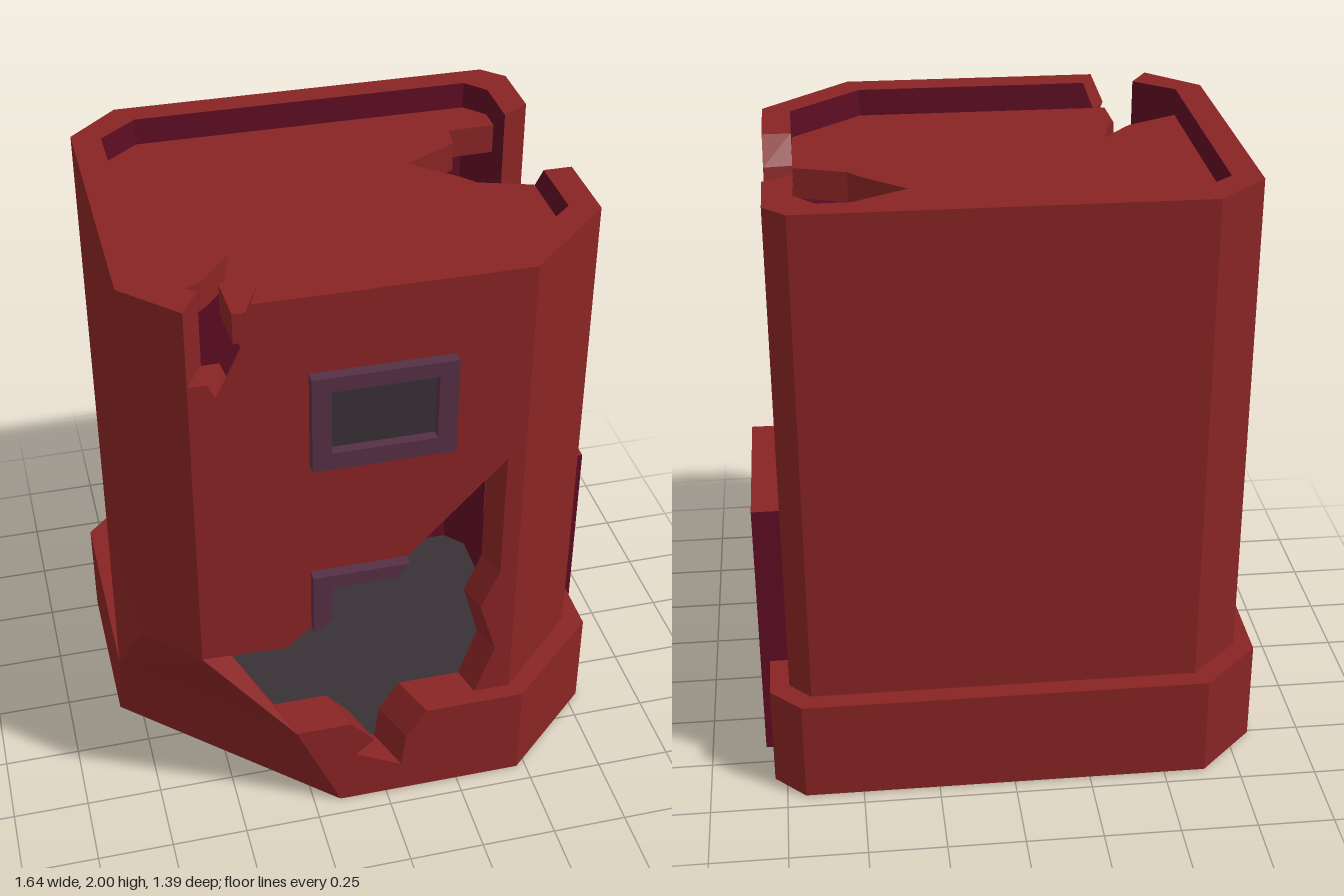
import * as THREE from 'three';

const material = (name, color) => {
  const m = new THREE.MeshStandardMaterial({ color });
  m.name = name;
  return m;
};

export function createModel() {
  const group = new THREE.Group();
  const red = material('brick red', 0x892424);
  const crimson = material('inner crimson', 0x5f0d24);
  const grey = material('floor grey', 0x383036);
  const plum = material('window frame plum', 0x552f44);

  const add = (name, geo, mat) => {
    const mesh = new THREE.Mesh(geo, mat);
    mesh.name = name;
    group.add(mesh);
    return mesh;
  };
  const shapeOf = (pts) => new THREE.Shape(pts.map(([x, y]) => new THREE.Vector2(x, y)));
  const rect = (x0, y0, x1, y1) => [[x0, y0], [x1, y0], [x1, y1], [x0, y1]];
  const mix = THREE.MathUtils.lerp;

  // Thick wall: a contour (s, y) mapped between an outer and an inner line.
  // A section is [outerStart, outerEnd, innerStart, innerEnd], each an [x, z] pair.
  function panel(name, pts, s0, s1, lo, hi = lo, y0 = 0, y1 = 1) {
    const geo = new THREE.ExtrudeGeometry(shapeOf(pts), { depth: 1, bevelEnabled: false });
    const p = geo.attributes.position;
    for (let i = 0; i < p.count; i++) {
      const u = (p.getX(i) - s0) / (s1 - s0), y = p.getY(i), t = p.getZ(i);
      const v = (y - y0) / (y1 - y0);
      const at = (k) => {
        const c = [0, 1, 2, 3].map((j) => mix(lo[j][k], hi[j][k], v));
        return mix(mix(c[2], c[3], u), mix(c[0], c[1], u), t);
      };
      p.setXYZ(i, at(0), y, at(1));
    }
    // Inside face, outside face, cut edges
    const [caps, sides] = geo.groups.map((g) => ({ ...g }));
    geo.clearGroups();
    geo.addGroup(0, caps.count / 2, 1);
    geo.addGroup(caps.count / 2, caps.count / 2, 0);
    geo.addGroup(sides.start, sides.count, 0);
    geo.computeVertexNormals();
    return add(name, geo, [red, crimson]);
  }

  // Horizontal plate from an [x, z] outline
  function plate(name, pts, y, thick, mat) {
    const geo = new THREE.ExtrudeGeometry(shapeOf(pts.map(([x, z]) => [x, -z])), { depth: thick, bevelEnabled: false });
    geo.rotateX(-Math.PI / 2).translate(0, y, 0);
    return add(name, geo, mat);
  }

  // Footprints, starting at the front and running round by the +x side
  const outer = [[-0.6, 0.637], [0.437, 0.637], [0.727, 0.36], [0.727, -0.567],
    [0.657, -0.637], [-0.6, -0.637], [-0.763, -0.48], [-0.763, 0.47]];
  const inner = [[-0.54, 0.537], [0.4, 0.537], [0.635, 0.325], [0.635, -0.48],
    [0.573, -0.55], [-0.547, -0.55], [-0.67, -0.444], [-0.67, 0.43]];
  const base = [[-0.31, 0.69], [0.468, 0.69], [0.79, 0.4], [0.79, -0.6],
    [0.69, -0.7], [-0.635, -0.7], [-0.824, -0.514], [-0.824, 0.207]];
  const baseInner = inner.slice();
  baseInner[0] = [-0.353, 0.537];
  baseInner[7] = [-0.67, 0.22];
  const section = (o, n, i) => [o[i], o[(i + 1) % 8], n[i], n[(i + 1) % 8]];

  // Front wall with the large breach and the broken top corner
  panel('frontWall', [[0.437, 0.35], [0.437, 2], [-0.41, 2], [-0.455, 1.9], [-0.44, 1.86],
    [-0.52, 1.7], [-0.54, 1.75], [-0.6, 1.75], [-0.6, 0.7], [-0.57, 0.7], [-0.325, 0.69],
    [-0.19, 0.81], [-0.19, 0.945], [0.02, 0.945], [0.38, 1.32], [0.38, 0.86],
    [0.32, 0.725], [0.38, 0.53], [0.315, 0.35]], -0.6, 0.437, section(outer, inner, 0));

  // Door wall with doorway and crack; s runs along -z
  panel('doorWall', [[-0.36, 0.35], [-0.085, 0.35], [-0.085, 0.83], [0.325, 0.83], [0.325, 0.35],
    [0.567, 0.35], [0.567, 2], [0.35, 2], [0.35, 1.68], [0.285, 1.54], [0.28, 1.36],
    [0.39, 1.18], [0.35, 1.05], [0.116, 1.34], [0.116, 1.535], [0, 1.71], [0, 1.79],
    [-0.02, 1.915], [-0.095, 2], [-0.36, 2]], -0.36, 0.567, section(outer, inner, 2));

  // Left wall, cut away toward the sloping corner
  panel('leftWall', [[-0.48, 0.35], [0.25, 0.35], [0.47, 0.7], [0.47, 2], [-0.48, 2]],
    -0.48, 0.47, section(outer, inner, 6));

  // Plain walls
  for (const i of [1, 3, 4, 5]) {
    panel('wall', rect(0, 0.35, 1, 2), 0, 1, section(outer, inner, i));
    panel('skirt', rect(0, 0.004, 1, 0.35), 0, 1, section(base, baseInner, i));
  }

  // Cut corner: upright above, widening below
  const corner = [
    section(outer, inner, 7),
    section(base, baseInner, 7),
    [[-0.824, 0.07], [-0.16, 0.69], [-0.67, 0.06], [-0.193, 0.537]],
  ];
  panel('cornerWall', rect(0, 0.7, 1, 2), 0, 1, corner[0]);
  panel('cornerSlope', rect(0, 0.35, 1, 0.7), 0, 1, corner[1], corner[0], 0.35, 0.7);
  panel('cornerFoot', rect(0, 0.004, 1, 0.35), 0, 1, corner[2], corner[1], 0, 0.35);

  // Filler between left wall, skirt and corner
  const filler = new THREE.BufferGeometry();
  filler.setAttribute('position', new THREE.Float32BufferAttribute(
    [-0.763, 0.35, -0.48, -0.824, 0.35, 0.207, -0.763, 0.7, 0.47], 3));
  filler.computeVertexNormals();
  add('leftFiller', filler, red);

  // Skirt pieces with crack, doorway and corner cut
  panel('frontSkirt', [[-0.16, 0.004], [0.468, 0.004], [0.468, 0.35], [0.135, 0.35], [0.066, 0.245],
    [0.05, 0.12], [-0.108, 0.205], [-0.045, 0.26], [-0.125, 0.35], [-0.31, 0.35]],
  -0.31, 0.468, section(base, baseInner, 0));
  panel('doorSkirt', [[-0.4, 0.004], [0.6, 0.004], [0.6, 0.35], [0.325, 0.35], [0.325, 0.09],
    [-0.085, 0.09], [-0.085, 0.35], [-0.4, 0.35]], -0.4, 0.6, section(base, baseInner, 2));
  panel('leftSkirt', [[-0.514, 0.004], [0.07, 0.004], [0.207, 0.35], [-0.514, 0.35]],
    -0.514, 0.207, section(base, baseInner, 6));

  // Floor and the liner showing round it underneath
  plate('floor', [[-0.193, 0.537], ...inner.slice(1, 7), [-0.67, 0.06]], 0, 0.03, grey);
  plate('underLiner', [[-0.19, 0.637], ...outer.slice(1, 7), [-0.763, 0.1]], 0.002, 0.008, crimson);

  // Roof slab with two broken bites
  plate('roof', [[-0.445, 0.537], [0.4, 0.537], [0.635, 0.325], [0.635, 0.022], [0.465, -0.035],
    [0.424, -0.083], [0.284, -0.207], [0.468, -0.31], [0.477, -0.395], [0.635, -0.4],
    [0.635, -0.48], [0.573, -0.55], [-0.547, -0.55], [-0.67, -0.444], [-0.67, 0.43],
    [-0.5, 0.34], [-0.48, 0.32], [-0.39, 0.21], [-0.43, 0.355], [-0.45, 0.37]], 1.81, 0.1, red);

  // Door frame: red faces, crimson sides
  const frameMats = [red, red, red, red, crimson, crimson];
  const frameBox = (name, y0, y1, z0, z1) => {
    add(name, new THREE.BoxGeometry(0.18, y1 - y0, z1 - z0), frameMats)
      .position.set(0.73, (y0 + y1) / 2, (z0 + z1) / 2);
  };
  frameBox('doorJamb', 0, 0.83, 0.085, 0.18);
  frameBox('doorJamb', 0, 0.83, -0.42, -0.325);
  frameBox('doorLintel', 0.83, 0.92, -0.42, 0.18);

  // Windows: a whole frame above, a broken one below
  const frame = shapeOf(rect(-0.245, 1.41, 0.2, 1.74));
  frame.holes.push(shapeOf(rect(-0.185, 1.47, 0.14, 1.69)));
  const broken = shapeOf([[-0.245, 0.77], [-0.185, 0.815], [-0.185, 0.945], [0.02, 0.945],
    [0.065, 0.995], [-0.245, 0.995]]);
  for (const [name, shape] of [['windowFrame', frame], ['brokenWindowFrame', broken]]) {
    add(name, new THREE.ExtrudeGeometry(shape, { depth: 0.04, bevelEnabled: false }), plum)
      .position.z = 0.635;
  }
  add('windowGlass', new THREE.BoxGeometry(0.325, 0.22, 0.008), grey).position.set(-0.0225, 1.58, 0.638);

  return group;
}
